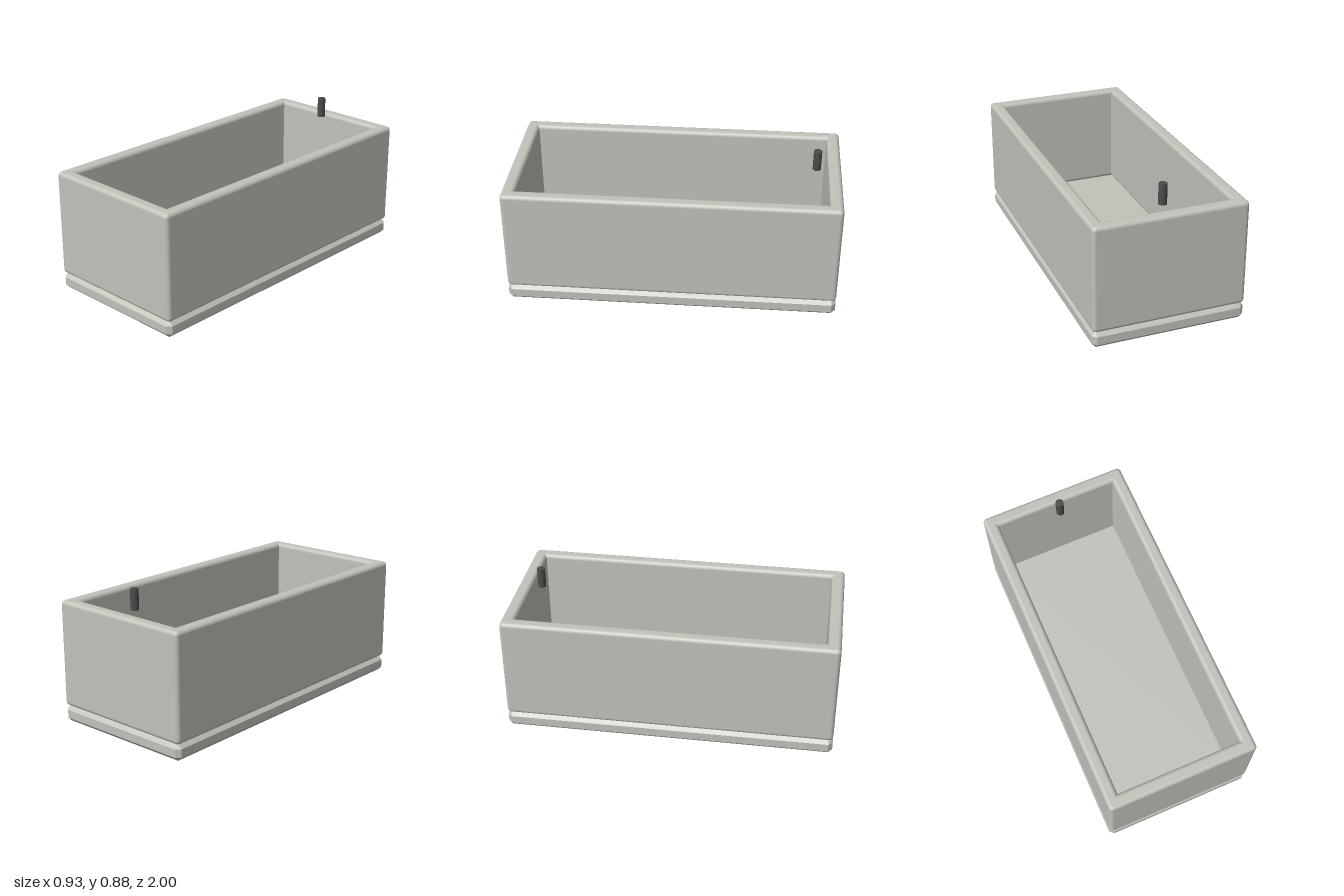
import * as THREE from 'three';
import { RoundedBoxGeometry } from 'three/addons/geometries/RoundedBoxGeometry.js';
import { ConvexGeometry } from 'three/addons/geometries/ConvexGeometry.js';

const HALF_W = 0.465, HALF_L = 1, WALL = 0.08, BASE_H = 0.1, TOP = 0.75;

// Box with flat 45 degree chamfers on every edge, centred on the origin
function chamferBox(w, h, d, c) {
  const pts = [];
  for (const sx of [-1, 1]) for (const sy of [-1, 1]) for (const sz of [-1, 1]) {
    const x = w / 2, y = h / 2, z = d / 2;
    pts.push(
      new THREE.Vector3(sx * x, sy * (y - c), sz * (z - c)),
      new THREE.Vector3(sx * (x - c), sy * y, sz * (z - c)),
      new THREE.Vector3(sx * (x - c), sy * (y - c), sz * z)
    );
  }
  return new ConvexGeometry(pts);
}

export function createModel() {
  const group = new THREE.Group();
  const stone = new THREE.MeshStandardMaterial({ color: 0xc2c2bb });
  stone.name = 'paleStone';
  const metal = new THREE.MeshStandardMaterial({ color: 0x4c4c4c });
  metal.name = 'darkMetal';

  function add(name, geometry, material, x, y, z) {
    const mesh = new THREE.Mesh(geometry, material);
    mesh.name = name;
    mesh.position.set(x, y, z);
    group.add(mesh);
  }

  // Chamfered plinth, whose top is also the basin floor
  add('base', chamferBox(HALF_W * 2, BASE_H, HALF_L * 2, 0.025), stone, 0, BASE_H / 2, 0);

  // Four softly rounded walls
  const wallH = TOP - BASE_H, wallY = (TOP + BASE_H) / 2;
  const sideWall = new RoundedBoxGeometry(WALL, wallH, HALF_L * 2, 2, 0.025);
  const endWall = new RoundedBoxGeometry(0.87, wallH, WALL, 2, 0.025);
  for (const s of [-1, 1]) {
    add(s > 0 ? 'leftWall' : 'rightWall', sideWall, stone, s * (HALF_W - WALL / 2), wallY, 0);
    add(s > 0 ? 'frontWall' : 'backWall', endWall, stone, 0, wallY, s * (HALF_L - WALL / 2));
  }

  // Short upright spout near the back
  add('spout', new THREE.CylinderGeometry(0.025, 0.025, 0.125, 12), metal, 0, 0.8125, -0.85);

  return group;
}
